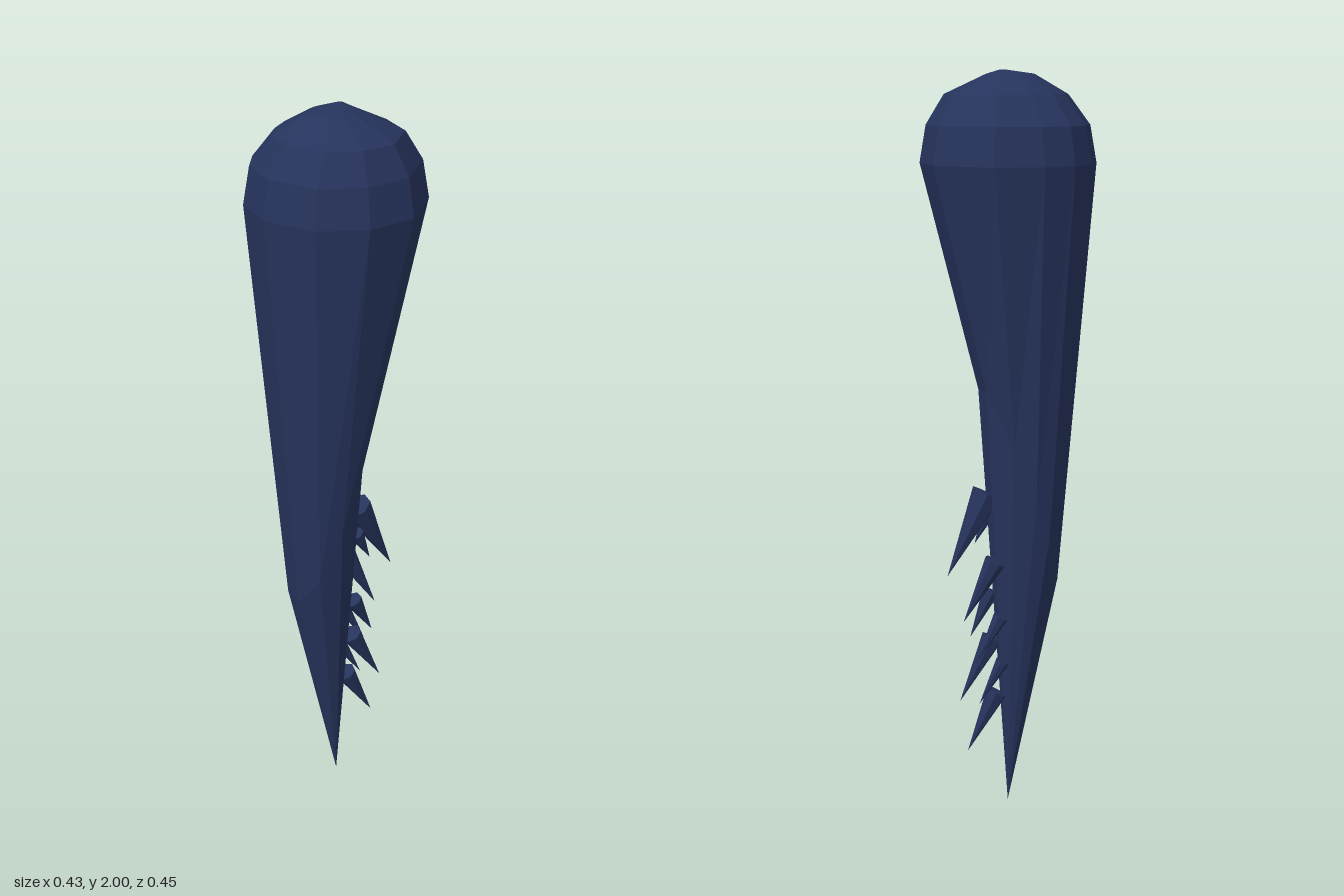
import * as THREE from 'three';

const material = new THREE.MeshStandardMaterial({ color: 0x26335c, flatShading: true, side: THREE.DoubleSide });

// Shoulder outline (x, z), going round from +x towards +z
const outline = [
  [0.215, -0.067], [0.21, 0.083], [0.105, 0.2], [-0.022, 0.223], [-0.14, 0.178], [-0.217, 0.057],
  [-0.217, -0.065], [-0.175, -0.14], [-0.11, -0.2], [-0.022, -0.225], [0.1, -0.205],
];

// Cross-sections from the bottom tip to the crown
function limbRings() {
  const ring = (rule) => outline.map(([x, z]) => rule(x, z));
  const dome = (y, s, cx, cz) => ring((x, z) => [cx + x * s, y, cz + z * s]);
  return [
    ring(() => [0, 0, 0]),
    // slanted elbow: low on the outer (-x) side, high on the inner side
    ring((x, z) => [-0.03 + x * 0.465, 0.92 + x * 1.23, z * 0.54]),
    ring((x, z) => [x, 1.77, z]),
    dome(1.865, 0.925, 0, 0),
    dome(1.94, 0.7, 0, 0.015),
    dome(1.99, 0.27, -0.01, 0.01),
    dome(2, 0.03, 0.02, -0.02),
  ];
}

function loft(rings) {
  const positions = [];
  for (let r = 0; r < rings.length - 1; r++) {
    const low = rings[r], up = rings[r + 1], n = low.length;
    for (let i = 0; i < n; i++) {
      const j = (i + 1) % n;
      if (r > 0) positions.push(...low[i], ...up[i], ...low[j]);
      positions.push(...low[j], ...up[i], ...up[j]);
    }
  }
  // close the crown
  const top = rings[rings.length - 1];
  for (let i = 1; i < top.length - 1; i++) positions.push(...top[0], ...top[i + 1], ...top[i]);
  const geometry = new THREE.BufferGeometry();
  geometry.setAttribute('position', new THREE.Float32BufferAttribute(positions, 3));
  geometry.computeVertexNormals();
  return geometry;
}

// Small cone running from its base centre to its tip
function makeSpike([base, tip, radius]) {
  const from = new THREE.Vector3(...base), to = new THREE.Vector3(...tip);
  const dir = to.clone().sub(from);
  const length = dir.length();
  const geometry = new THREE.ConeGeometry(radius, length, 7).translate(0, length / 2, 0);
  const spike = new THREE.Mesh(geometry, material);
  spike.position.copy(from);
  spike.quaternion.setFromUnitVectors(new THREE.Vector3(0, 1, 0), dir.normalize());
  return spike;
}

export function createModel() {
  const group = new THREE.Group();
  group.name = 'spikedLimb';

  const limb = new THREE.Mesh(loft(limbRings()), material);
  limb.name = 'limb';
  group.add(limb);

  // Row of barbs along the inner edge: base, tip, radius
  const barbs = [
    [[0.055, 0.9, 0.01], [0.17, 0.68, 0], 0.042],
    [[0.035, 0.84, 0.05], [0.08, 0.75, 0.045], 0.022],
    [[0.045, 0.72, -0.03], [0.13, 0.55, -0.015], 0.03],
    [[0.035, 0.615, 0.035], [0.1, 0.49, 0.025], 0.025],
    [[0.03, 0.56, -0.03], [0.1, 0.43, -0.025], 0.022],
    [[0.04, 0.485, 0.015], [0.135, 0.31, 0.01], 0.03],
    [[0.025, 0.43, -0.03], [0.09, 0.31, -0.025], 0.02],
    [[0.035, 0.335, -0.01], [0.12, 0.17, -0.012], 0.03],
  ];
  barbs.forEach((barb, i) => {
    const spike = makeSpike(barb);
    spike.name = `barb${i + 1}`;
    group.add(spike);
  });
  return group;
}
